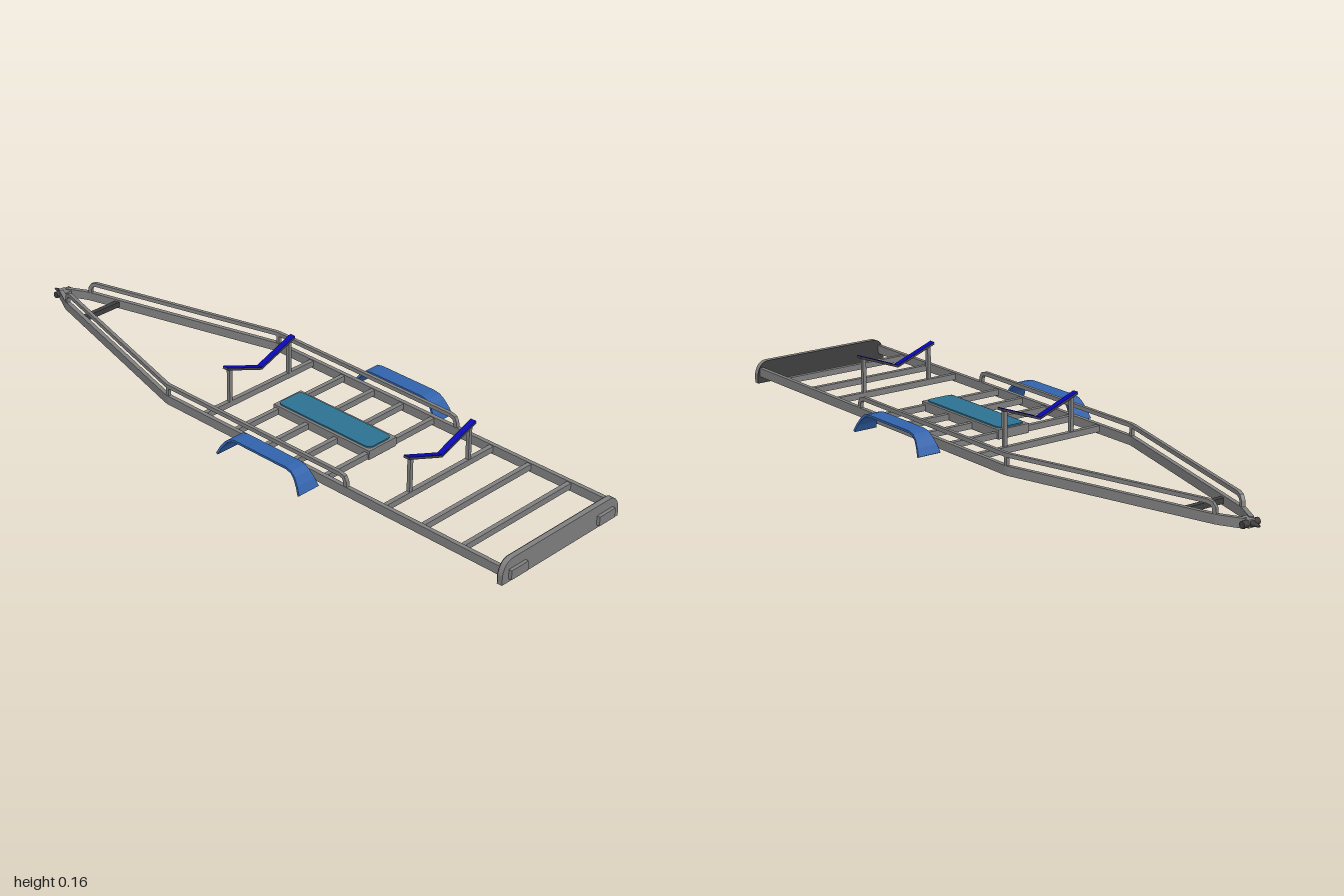
import * as THREE from 'three';

const mat = (name, color, side = THREE.FrontSide) => {
  const m = new THREE.MeshStandardMaterial({ color, side });
  m.name = name;
  return m;
};

// Sweep a rectangular section along a path; widths may vary per point
function sweep(path, width, height) {
  const pts = path.map(p => new THREE.Vector3(...p));
  const pos = [], idx = [], n = pts.length;
  const up = new THREE.Vector3(0, 1, 0);
  pts.forEach((p, i) => {
    const before = i > 0 ? p.clone().sub(pts[i - 1]).normalize() : new THREE.Vector3();
    const after = i < n - 1 ? pts[i + 1].clone().sub(p).normalize() : new THREE.Vector3();
    const t = before.add(after).normalize();
    const side = t.clone().cross(up).normalize();
    const top = side.clone().cross(t);
    const w = (Array.isArray(width) ? width[i] : width) / 2, h = height / 2;
    for (const [a, b] of [[-w, -h], [w, -h], [w, h], [-w, h]]) {
      pos.push(...p.clone().addScaledVector(side, a).addScaledVector(top, b).toArray());
    }
    if (i === n - 1) return;
    for (let k = 0; k < 4; k++) {
      const a = i * 4 + k, b = i * 4 + (k + 1) % 4;
      idx.push(a, a + 4, b, b, a + 4, b + 4);
    }
  });
  const e = (n - 1) * 4;
  idx.push(0, 1, 2, 0, 2, 3, e, e + 2, e + 1, e, e + 3, e + 2);
  const g = new THREE.BufferGeometry();
  g.setAttribute('position', new THREE.Float32BufferAttribute(pos, 3));
  g.setIndex(idx);
  const flat = g.toNonIndexed();
  flat.computeVertexNormals();
  return flat;
}

// Rectangle in x/z with rounded corners, lying flat with its base at y = 0
function roundedSlab(w, d, r, h) {
  const s = new THREE.Shape(), x = w / 2, y = d / 2;
  s.moveTo(-x + r, -y).lineTo(x - r, -y).quadraticCurveTo(x, -y, x, -y + r);
  s.lineTo(x, y - r).quadraticCurveTo(x, y, x - r, y).lineTo(-x + r, y);
  s.quadraticCurveTo(-x, y, -x, y - r).lineTo(-x, -y + r).quadraticCurveTo(-x, -y, -x + r, -y);
  return new THREE.ExtrudeGeometry(s, { depth: h, bevelEnabled: false, curveSegments: 5 }).rotateX(-Math.PI / 2);
}

export function createModel() {
  const root = new THREE.Group();
  root.name = 'boatTrailer';
  const steel = mat('steel grey', 0x808080);
  const dark = mat('dark grey', 0x404040);
  const blue = mat('fender blue', 0x3263ac, THREE.DoubleSide);
  const pad = mat('pad blue', 0x0808b4);
  const teal = mat('deck teal', 0x2c7293);

  const add = (name, geo, m, x = 0, y = 0, z = 0) => {
    const mesh = new THREE.Mesh(geo, m);
    mesh.name = name;
    mesh.position.set(x, y, z);
    root.add(mesh);
    return mesh;
  };
  const box = (name, w, h, d, m, x, y, z) => add(name, new THREE.BoxGeometry(w, h, d), m, x, y, z);

  // Both sides: frame rails, upper rails, fenders
  for (const s of [1, -1]) {
    const side = s > 0 ? 'left' : 'right';
    add(side + 'FrameRail', sweep([
      [s * 0.219, 0.034, 0.975], [s * 0.219, 0.034, -0.25], [s * 0.217, 0.034, -0.262],
      [s * 0.046, 0.034, -0.888], [s * 0.041, 0.034, -0.9], [s * 0.01, 0.034, -0.96],
    ], 0.013, 0.027), steel);
    add(side + 'UpperRail', sweep([
      [s * 0.219, 0.044, 0.439], [s * 0.219, 0.062, 0.437], [s * 0.219, 0.073, 0.431],
      [s * 0.219, 0.077, 0.418], [s * 0.219, 0.077, -0.25], [s * 0.217, 0.077, -0.262],
      [s * 0.052, 0.077, -0.866], [s * 0.0485, 0.073, -0.879], [s * 0.0465, 0.062, -0.886],
      [s * 0.046, 0.044, -0.888],
    ], 0.011, 0.012), steel);
    box(side + 'UpperRailPost', 0.01, 0.03, 0.01, steel, s * 0.219, 0.058, -0.252);
    add(side + 'Fender', sweep([
      [s * 0.2685, 0.013, 0.346], [s * 0.2685, 0.035, 0.335], [s * 0.2685, 0.055, 0.321],
      [s * 0.2685, 0.066, 0.307], [s * 0.2685, 0.07, 0.288], [s * 0.2685, 0.07, 0.092],
      [s * 0.2685, 0.066, 0.073], [s * 0.2685, 0.055, 0.059], [s * 0.2685, 0.035, 0.045],
      [s * 0.2685, 0.013, 0.034],
    ], [0.075, 0.066, 0.057, 0.053, 0.051, 0.051, 0.053, 0.057, 0.066, 0.075], 0.007), blue);
    // Lamp on the end plate
    box(side + 'Lamp', 0.065, 0.028, 0.012, steel, s * 0.176, 0.024, 0.994);
  }

  // Cross members
  for (const z of [-0.112, 0.013, 0.13, 0.24, 0.355, 0.57, 0.703, 0.84]) {
    box('crossBar', 0.43, 0.018, 0.014, steel, 0, 0.036, z);
  }
  box('drawbarBrace', 0.145, 0.016, 0.016, dark, 0, 0.034, -0.79);

  // V-shaped hull supports on posts
  for (const z of [-0.11, 0.57]) {
    for (const s of [1, -1]) box('supportPost', 0.011, 0.105, 0.011, steel, s * 0.117, 0.095, z);
    const vee = y => [[-0.133, 0.154 + y, z], [0, 0.1045 + y, z], [0.133, 0.154 + y, z]];
    add('hullSupport', sweep(vee(0), 0.019, 0.006), dark);
    add('hullSupportPad', sweep(vee(0.004), 0.019, 0.0016), pad);
  }

  // Centre deck
  box('deckFrame', 0.108, 0.026, 0.366, steel, 0, 0.04, 0.183);
  add('deckTop', roundedSlab(0.09, 0.35, 0.018, 0.004), teal, 0, 0.053, 0.183);
  box('deckUnderside', 0.106, 0.003, 0.364, dark, 0, 0.0265, 0.183);

  // End plate with rounded upper corners
  const plate = new THREE.Shape();
  plate.moveTo(-0.233, 0).lineTo(0.233, 0).lineTo(0.233, 0.028);
  plate.quadraticCurveTo(0.225, 0.066, 0.195, 0.067).lineTo(-0.195, 0.067);
  plate.quadraticCurveTo(-0.225, 0.066, -0.233, 0.028).lineTo(-0.233, 0);
  const slab = depth => new THREE.ExtrudeGeometry(plate, { depth, bevelEnabled: false, curveSegments: 8 });
  add('endPlate', slab(0.014), steel, 0, 0, 0.976);
  add('endPlateBack', slab(0.003), dark, 0, 0, 0.973);

  // Hitch coupling
  box('hitchBlock', 0.024, 0.022, 0.035, steel, 0, 0.034, -0.955);
  add('hitchPin', new THREE.CylinderGeometry(0.01, 0.01, 0.056, 12).rotateZ(Math.PI / 2), dark, 0, 0.034, -0.965);
  add('hitchTip', new THREE.CylinderGeometry(0.003, 0.009, 0.03, 10).rotateX(-Math.PI / 2), dark, 0, 0.034, -0.985);

  return root;
}
